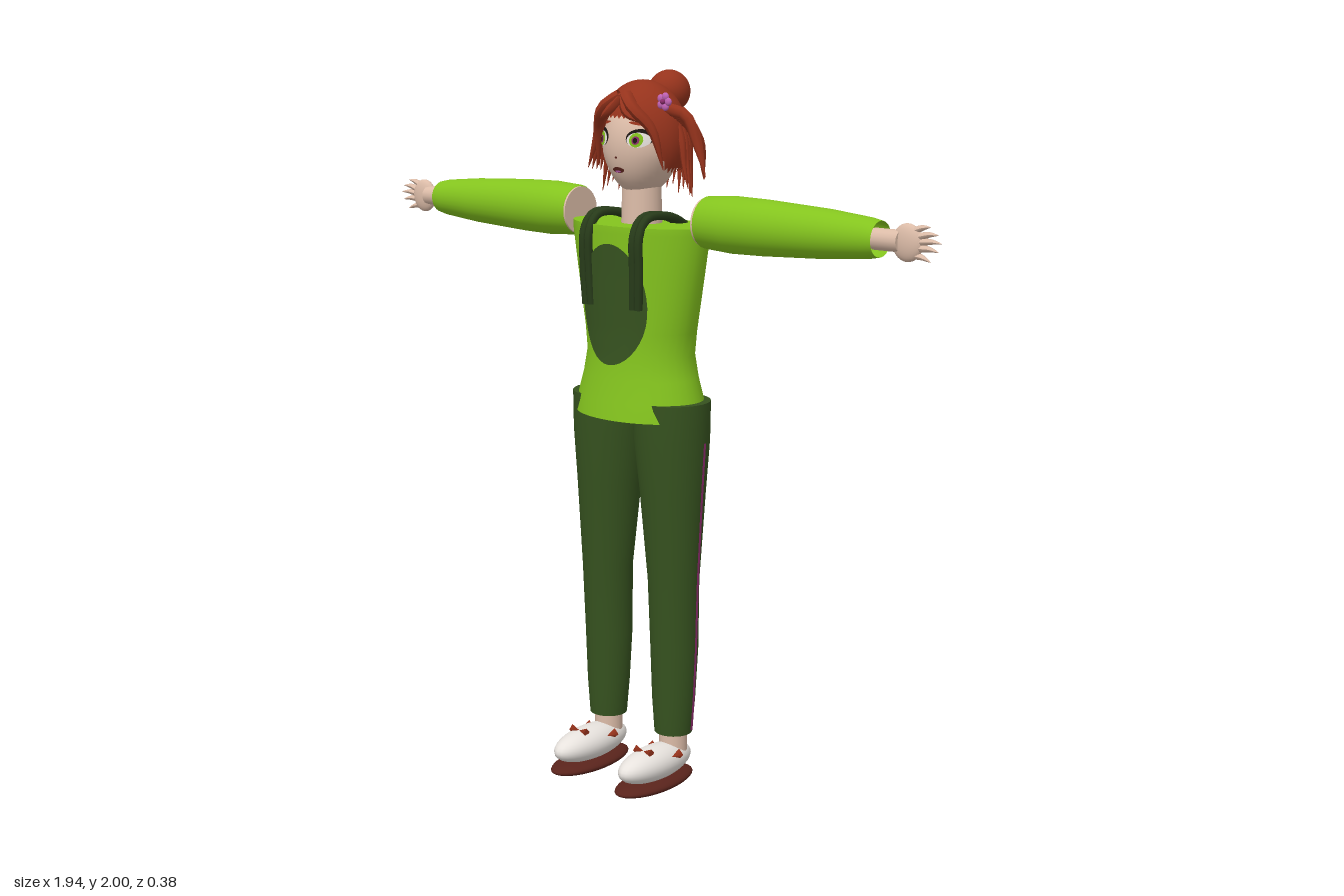
import * as THREE from 'three';

const mat = (name, color, side = THREE.FrontSide) => {
  const m = new THREE.MeshStandardMaterial({ color, side });
  m.name = name;
  return m;
};
const D = THREE.DoubleSide;
const skin = mat('skin', 0xdcbcA8), hair = mat('red hair', 0x96331c, D), lime = mat('lime cloth', 0x84c41e, D);
const green = mat('dark green cloth', 0x36521f, D), strapGreen = mat('strap green', 0x283c1a);
const white = mat('white', 0xf0ebe6, D), brown = mat('red brown', 0x5a241c, D);
const magenta = mat('magenta', 0x8c2c6c, D), pink = mat('flower pink', 0xc062b4), black = mat('black', 0x1c1512, D);

// Cross-sections from bottom to top: [y, centreX, centreZ, radiusX, radiusZ]
const torsoRings = [
  [1.06, 0, -0.042, 0.205, 0.145], [1.11, 0, -0.042, 0.198, 0.138], [1.17, 0, -0.042, 0.18, 0.128],
  [1.235, 0, -0.042, 0.167, 0.122], [1.3, 0, -0.042, 0.176, 0.12], [1.46, 0, -0.042, 0.206, 0.122],
  [1.57, 0, -0.042, 0.224, 0.126], [1.59, 0, -0.042, 0.225, 0.125]];
const legRings = [
  [0.15, 0.124, -0.042, 0.054, 0.053], [0.25, 0.124, -0.043, 0.062, 0.06], [0.4, 0.124, -0.045, 0.069, 0.066],
  [0.6, 0.124, -0.04, 0.074, 0.07], [0.85, 0.118, -0.042, 0.093, 0.09], [1, 0.113, -0.043, 0.107, 0.104],
  [1.11, 0.111, -0.043, 0.11, 0.107]];

// Section at height y, interpolated between rings
function sectionAt(rings, y) {
  let i = 0;
  while (i < rings.length - 2 && rings[i + 1][0] < y) i++;
  const t = THREE.MathUtils.clamp((y - rings[i][0]) / (rings[i + 1][0] - rings[i][0]), 0, 1);
  return rings[i].map((v, k) => v + (rings[i + 1][k] - v) * t);
}

// Closed body through elliptical sections
function loft(rings, s = 1, n = 36) {
  const pos = [], idx = [];
  const ring = ([y, cx, cz, rx, rz]) => {
    for (let j = 0; j < n; j++) {
      const a = (j / n) * Math.PI * 2;
      pos.push(s * cx + rx * Math.sin(a), y, cz + rz * Math.cos(a));
    }
  };
  rings.forEach(ring);
  for (let i = 0; i < rings.length - 1; i++) for (let j = 0; j < n; j++) {
    const a = i * n + j, b = i * n + (j + 1) % n;
    idx.push(a, b, b + n, a, b + n, a + n);
  }
  [rings[0], rings[rings.length - 1]].forEach((r, top) => {
    const base = pos.length / 3;
    ring(r);
    pos.push(s * r[1], r[0], r[2]);
    for (let j = 0; j < n; j++) {
      const a = base + j, b = base + (j + 1) % n;
      idx.push(...(top ? [a, b, base + n] : [b, a, base + n]));
    }
  });
  const g = new THREE.BufferGeometry();
  g.setAttribute('position', new THREE.Float32BufferAttribute(pos, 3));
  g.setIndex(idx);
  g.computeVertexNormals();
  return g;
}

// Move every vertex by a rule
function bend(g, rule) {
  const p = g.attributes.position, v = new THREE.Vector3();
  for (let i = 0; i < p.count; i++) {
    v.fromBufferAttribute(p, i);
    rule(v, i);
    p.setXYZ(i, v.x, v.y, v.z);
  }
  g.computeVertexNormals();
  return g;
}

// Tube along points, optionally tapering to a tip
function tube(points, r, taper = true, seg = 10, sides = 7) {
  const c = new THREE.CatmullRomCurve3(points.map(p => new THREE.Vector3(...p)));
  const g = new THREE.TubeGeometry(c, seg, r, sides);
  if (!taper) return g;
  return bend(g, (v, i) => {
    const t = Math.floor(i / (sides + 1)) / seg;
    v.lerp(c.getPointAt(t), Math.pow(t, 2) * 0.95);
  });
}

const headZ = (x, y) => -0.045 + 0.105 * Math.sqrt(Math.max(0, 1 - (x / 0.108) ** 2 - ((y - 1.8) / 0.137) ** 2));

export function createModel() {
  const model = new THREE.Group();
  const add = (name, g, m, x = 0, y = 0, z = 0, parent = model) => {
    const mesh = new THREE.Mesh(g, m);
    mesh.name = name;
    mesh.position.set(x, y, z);
    parent.add(mesh);
    return mesh;
  };
  const ball = (name, m, x, y, z, rx, ry = rx, rz = rx) =>
    add(name, new THREE.SphereGeometry(1, 28, 18).scale(rx, ry, rz), m, x, y, z);
  // Thin oval laid on the face
  const faceOval = (name, m, x, y, rx, ry, lift, tilt = 0) =>
    add(name, bend(new THREE.RingGeometry(0, 1, 20, 4).scale(rx, ry, 1).rotateZ(tilt).translate(x, y, 0),
      v => { v.z = headZ(v.x, v.y) + lift; }), m);

  // Torso, neck and front panel
  add('shirt', loft(torsoRings), lime);
  add('neck', new THREE.CylinderGeometry(0.053, 0.057, 0.14, 24), skin, 0, 1.64, -0.045);
  add('frontPanel', bend(new THREE.RingGeometry(0, 1, 40, 8).scale(0.115, 0.166, 1).translate(0, 1.377, 0), v => {
    const [, , cz, rx, rz] = sectionAt(torsoRings, v.y);
    v.z = cz + rz * Math.sqrt(1 - (v.x / rx) ** 2) + 0.009;
  }), green);

  for (const s of [1, -1]) {
    // Shoulder straps, two cords each
    for (const x of [0.08, 0.1]) add('strap', tube([
      [s * x * 0.9, 1.585, -0.12], [s * x, 1.612, -0.05], [s * x, 1.612, 0.05],
      [s * x, 1.57, 0.08], [s * x, 1.47, 0.081], [s * x * 0.95, 1.37, 0.077]], 0.012, false, 24), strapGreen);

    // Sleeve with bare shoulder end
    const sleeve = [[0.06, 0], [0.07, 0.008], [0.076, 0.1], [0.074, 0.2], [0.064, 0.4], [0.052, 0.53], [0.046, 0.56]]
      .map(p => new THREE.Vector2(...p));
    add('sleeve', new THREE.LatheGeometry(sleeve, 28).rotateZ(-s * Math.PI / 2), lime, s * 0.228, 1.607, -0.045);
    add('shoulderEnd', new THREE.CylinderGeometry(0.066, 0.066, 0.01, 28).rotateZ(Math.PI / 2), skin, s * 0.232, 1.607, -0.045);
    add('wrist', new THREE.CylinderGeometry(0.028, 0.028, 0.08, 16).rotateZ(Math.PI / 2), skin, s * 0.81, 1.607, -0.045);

    // Hand with fanned fingers
    ball('palm', skin, s * 0.868, 1.605, -0.045, 0.044, 0.048, 0.019);
    [[0.885, 1.635, 0.935, 1.648], [0.9, 1.622, 0.958, 1.63], [0.9, 1.608, 0.968, 1.61],
      [0.9, 1.593, 0.96, 1.588], [0.885, 1.575, 0.938, 1.562]].forEach(([x0, y0, x1, y1]) => {
      add('finger', tube([[s * x0, y0, -0.045], [s * (x0 + x1) / 2, (y0 + y1) / 2 + 0.003, -0.045], [s * x1, y1, -0.043]], 0.0095), skin);
    });

    // Trouser leg with side stripe and torn calf
    add('trouserLeg', loft(legRings, s, 28), green);
    add('sideStripe', bend(new THREE.PlaneGeometry(0.009, 0.84, 1, 24).rotateY(s * Math.PI / 2).translate(0, 0.58, -0.055), v => {
      const [, cx, , rx] = sectionAt(legRings, v.y);
      v.x = s * (cx + rx + 0.002);
    }), magenta);
    [0.025, 0.06, 0.035, 0.11, 0.07, 0.09, 0.04, 0.025].forEach((h, i) => {
      add('calfTear', bend(new THREE.PlaneGeometry(0.0115, h, 2, 4).rotateY(Math.PI)
        .translate((i - 3.5) * 0.0113, 0.375 + (i % 2 ? 0.006 : -0.004), 0), v => {
        const [, cx, cz, rx, rz] = sectionAt(legRings, v.y);
        v.z = cz - rz * Math.sqrt(1 - (v.x / rx) ** 2) - 0.003;
        v.x += s * cx;
      }), skin);
    });

    // Shoe
    add('ankle', new THREE.CylinderGeometry(0.04, 0.04, 0.09, 20), skin, s * 0.124, 0.13, -0.042);
    ball('shoeSole', brown, s * 0.123, 0.022, 0.04, 0.068, 0.022, 0.15);
    ball('shoeUpper', white, s * 0.123, 0.077, 0.037, 0.058, 0.049, 0.143);
    for (const t of [-1, 1]) {
      add('shoeBow', new THREE.ConeGeometry(0.013, 0.03, 4).rotateZ(t * Math.PI / 2), hair, s * 0.123 + t * 0.013, 0.122, 0.085);
      add('shoeTab', new THREE.ConeGeometry(0.015, 0.032, 4).rotateX(Math.PI / 2), hair, s * 0.123 + t * 0.05, 0.1, 0.005);
    }

    // Eye, lash and brow
    faceOval('lashLine', black, s * 0.062, 1.825, 0.031, 0.024, 0.002, s * 0.1);
    faceOval('eyeWhite', white, s * 0.062, 1.82, 0.027, 0.02, 0.004);
    faceOval('iris', lime, s * 0.059, 1.82, 0.016, 0.019, 0.006);
    faceOval('irisRing', magenta, s * 0.059, 1.819, 0.009, 0.011, 0.0075);
    faceOval('pupil', black, s * 0.059, 1.819, 0.005, 0.007, 0.009);
    faceOval('brow', hair, s * 0.06, 1.862, 0.028, 0.004, 0.003, -s * 0.15);

    // Side tufts
    for (let i = 0; i < 8; i++) {
      const k = i / 7;
      add('sideTuft', tube([
        [s * 0.1, 1.9 - k * 0.04, -0.03 - k * 0.06], [s * (0.15 - k * 0.02), 1.885 - k * 0.04, -0.05 - k * 0.05],
        [s * (0.18 - k * 0.03), 1.81, -0.06 - k * 0.05], [s * (0.212 - k * 0.055), 1.725 - k * 0.015, -0.06 - k * 0.06]], 0.017), hair);
    }
    // Front locks framing the face
    add('fringeLock', tube([[s * 0.01, 1.935, 0.03], [s * 0.05, 1.905, 0.05], [s * 0.095, 1.85, 0.025], [s * 0.116, 1.74, 0]], 0.019), hair);
    add('fringeLock', tube([[s * 0.005, 1.93, 0.035], [s * 0.035, 1.89, 0.056], [s * 0.085, 1.862, 0.035]], 0.014), hair);
  }

  // Head, narrowing at the chin
  add('head', bend(new THREE.SphereGeometry(1, 36, 24).scale(0.108, 0.137, 0.105), v => {
    if (v.y < -0.02) v.x *= 1 + (v.y + 0.02) * 1.6;
  }), skin, 0, 1.8, -0.045);
  faceOval('nose', brown, 0, 1.772, 0.004, 0.003, 0.003);
  faceOval('mouth', brown, 0, 1.738, 0.02, 0.008, 0.003);
  faceOval('lowerLip', pink, 0, 1.734, 0.01, 0.003, 0.005);

  // Hair cap: high over the forehead, low behind
  const cap = new THREE.SphereGeometry(1, 48, 20);
  const uv = cap.attributes.uv;
  bend(cap, (v, i) => {
    const u = uv.getX(i) * Math.PI * 2, x = -Math.cos(u), z = Math.sin(u);
    const low = THREE.MathUtils.smoothstep(Math.abs(Math.atan2(x, z)), 0.6, 1.35);
    const theta = (1 - uv.getY(i)) * Math.acos((0.055 - low * 0.145) / 0.155);
    v.set(0.13 * x * Math.sin(theta), 0.155 * Math.cos(theta), 0.115 * z * Math.sin(theta));
  });
  add('hairCap', cap, hair, 0, 1.82, -0.05);
  ball('hairBun', hair, 0.02, 1.941, -0.135, 0.058);

  // Loose strands across the back
  for (let i = 0; i < 21; i++) {
    const a = (i / 20 - 0.5) * 3.0, sx = Math.sin(a), cz = -Math.cos(a);
    add('backStrand', tube([
      [0.1 * sx, 1.89, -0.05 + 0.09 * cz], [0.13 * sx, 1.82, -0.05 + 0.11 * cz],
      [0.14 * sx, 1.75, -0.05 + 0.112 * cz], [0.155 * sx, 1.665 + (i % 3) * 0.012, -0.05 + 0.1 * cz]], 0.013), hair);
  }

  // Hair flower
  for (let i = 0; i < 5; i++) {
    const a = (i / 5) * Math.PI * 2;
    ball('petal', pink, 0.122 + 0.014 * Math.cos(a), 1.922 + 0.014 * Math.sin(a), 0.005, 0.011, 0.011, 0.007);
  }
  ball('flowerCentre', magenta, 0.122, 1.922, 0.011, 0.007);
  return model;
}
